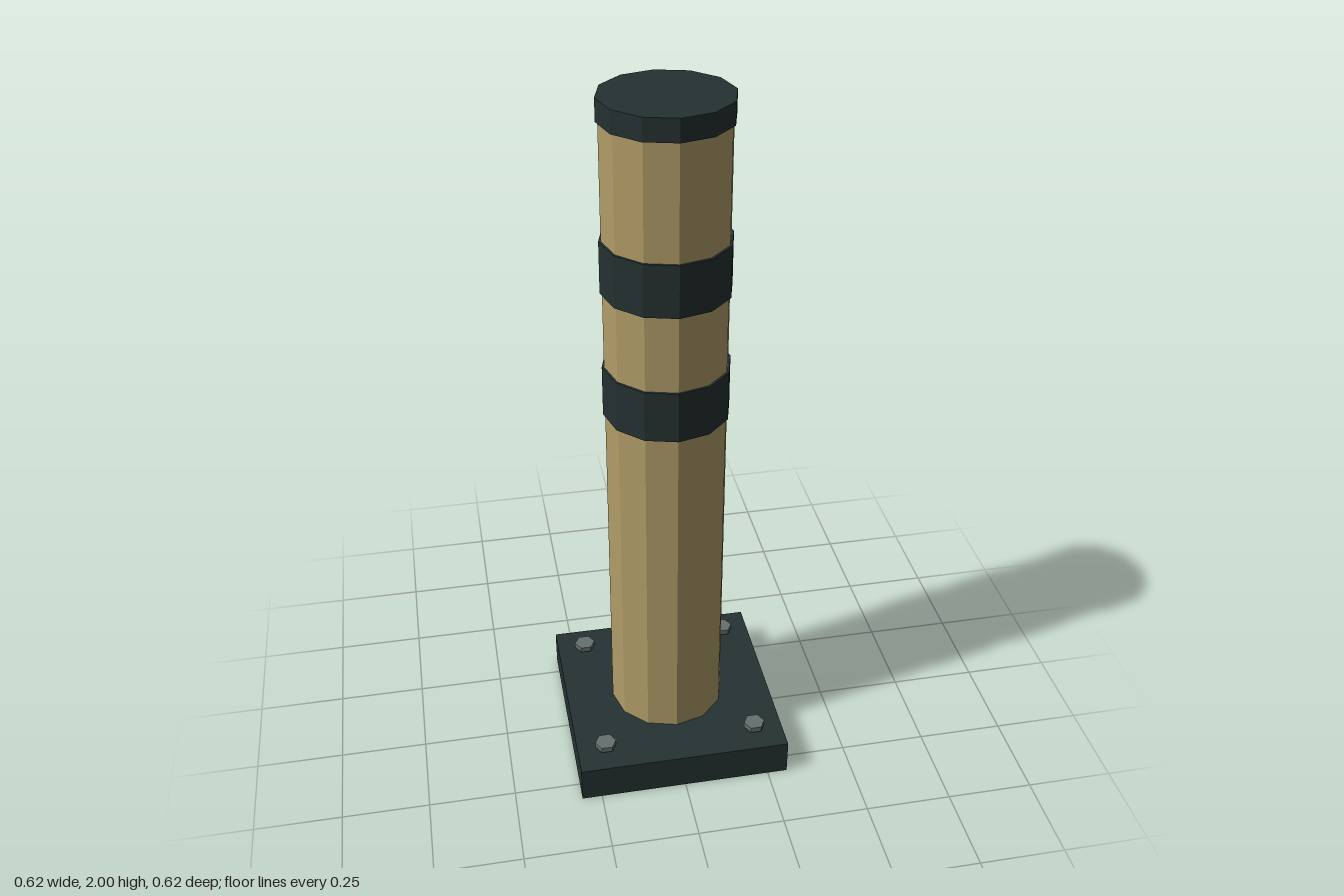
import * as THREE from 'three';

const wood = new THREE.MeshStandardMaterial({ color: 0xb09c68, flatShading: true });
wood.name = 'tan post';
const dark = new THREE.MeshStandardMaterial({ color: 0x253131, flatShading: true });
dark.name = 'dark metal';
const steel = new THREE.MeshStandardMaterial({ color: 0x65706e, flatShading: true });
steel.name = 'grey steel';

export function createModel() {
  const model = new THREE.Group();
  model.name = 'bollard';

  // upright prism spanning y0 to y1
  const prism = (name, material, radius, sides, y0, y1, open = false) => {
    const mesh = new THREE.Mesh(
      new THREE.CylinderGeometry(radius, radius, y1 - y0, sides, 1, open), material);
    mesh.name = name;
    mesh.position.y = (y0 + y1) / 2;
    return mesh;
  };

  // square base plate
  const base = new THREE.Mesh(new THREE.BoxGeometry(0.616, 0.108, 0.616), dark);
  base.name = 'basePlate';
  base.position.y = 0.054;
  model.add(base);

  // post, two bands and the cap
  model.add(prism('post', wood, 0.168, 12, 0.108, 1.94));
  model.add(prism('lowerBand', dark, 0.174, 12, 1.122, 1.268));
  model.add(prism('upperBand', dark, 0.174, 12, 1.485, 1.63));
  model.add(prism('cap', dark, 0.174, 12, 1.94, 2));

  // hex bolts at the corners, on short shanks
  for (const x of [-1, 1]) {
    for (const z of [-1, 1]) {
      const bolt = new THREE.Group();
      bolt.name = 'bolt';
      bolt.position.set(x * 0.224, 0, z * 0.224);
      const head = prism('boltHead', steel, 0.031, 6, 0.117, 0.134);
      head.rotation.y = Math.PI / 6;
      bolt.add(head, prism('boltShank', steel, 0.012, 6, 0.1, 0.12));
      model.add(bolt);
    }
  }
  return model;
}
